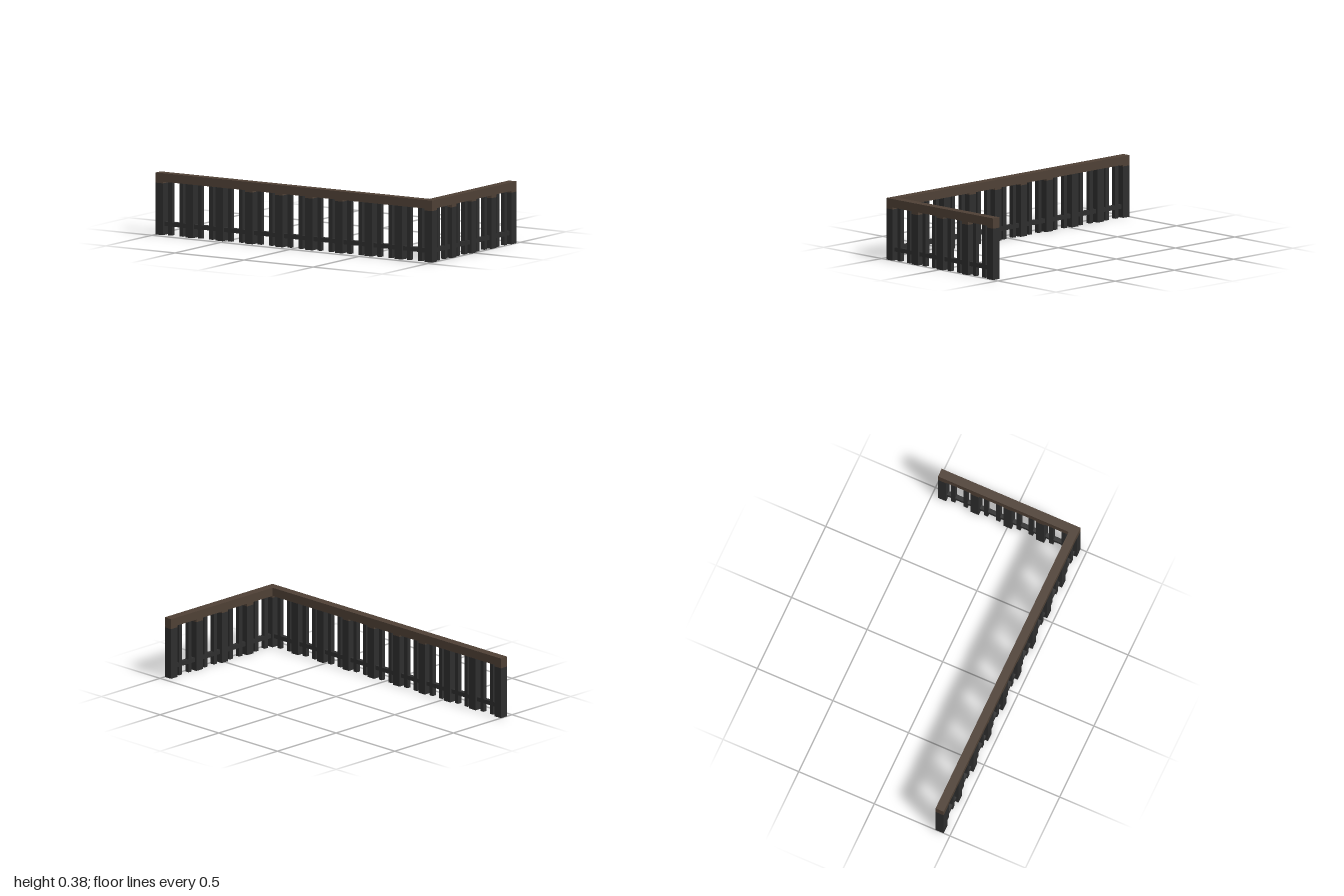
import * as THREE from 'three';

export function createModel() {
  const model = new THREE.Group();
  model.name = 'cornerRailing';
  const wood = new THREE.MeshStandardMaterial({ color: 0x4e4035 });
  wood.name = 'dark brown wood';
  const iron = new THREE.MeshStandardMaterial({ color: 0x2d2d2d });
  iron.name = 'charcoal';

  const W = 0.054, THIN = 0.027, STEP = 0.2162;
  const RAIL_BOTTOM = 0.326, TOP = 0.378;

  // Box given by its centre in plan and its bottom and top heights
  function box(parent, name, mat, x, z, w, d, y0, y1) {
    const mesh = new THREE.Mesh(new THREE.BoxGeometry(w, y1 - y0, d), mat);
    mesh.position.set(x, (y0 + y1) / 2, z);
    mesh.name = name;
    parent.add(mesh);
  }

  // Post with a wooden collar reaching a little below the handrail
  function post(parent, x, drop) {
    const y = RAIL_BOTTOM - drop;
    box(parent, 'post', iron, x, 0, W, W, 0, y);
    if (drop > 0) box(parent, 'postCollar', wood, x, 0, W, W, y, RAIL_BOTTOM);
  }

  // Two balusters and a lower rail in each bay, running along local x
  function bays(parent, start, count) {
    for (let i = 0; i < count; i++) {
      const x = start + i * STEP;
      for (const offset of [0.0676, 0.1486]) {
        box(parent, 'baluster', iron, x + offset, 0, THIN, THIN, 0, RAIL_BOTTOM);
      }
      box(parent, 'lowerRail', iron, x + STEP / 2, 0, STEP - W, THIN, 0.055, 0.081);
    }
  }

  // Long front run
  const front = new THREE.Group();
  front.name = 'frontRun';
  front.position.z = 0.432;
  const frontDrops = [0.01, 0, 0, 0.01, 0.01, 0.01, 0.01, 0, 0, 0.012];
  frontDrops.forEach((drop, i) => post(front, -0.973 + i * STEP, drop));
  bays(front, -0.973, 9);
  box(front, 'handrail', wood, 0, 0, 2, W, RAIL_BOTTOM, TOP);
  model.add(front);

  // Short return run on the left, going back from the shared corner post
  const side = new THREE.Group();
  side.name = 'sideRun';
  side.position.x = 0.973;
  side.rotation.y = Math.PI / 2;
  const sideDrops = [0.017, 0.01, 0.017, 0.011];
  sideDrops.forEach((drop, i) => post(side, -0.432 + (i + 1) * STEP, drop));
  bays(side, -0.432, 4);
  box(side, 'handrail', wood, W / 2, 0, 0.918 - W, W, RAIL_BOTTOM, TOP);
  model.add(side);

  return model;
}
